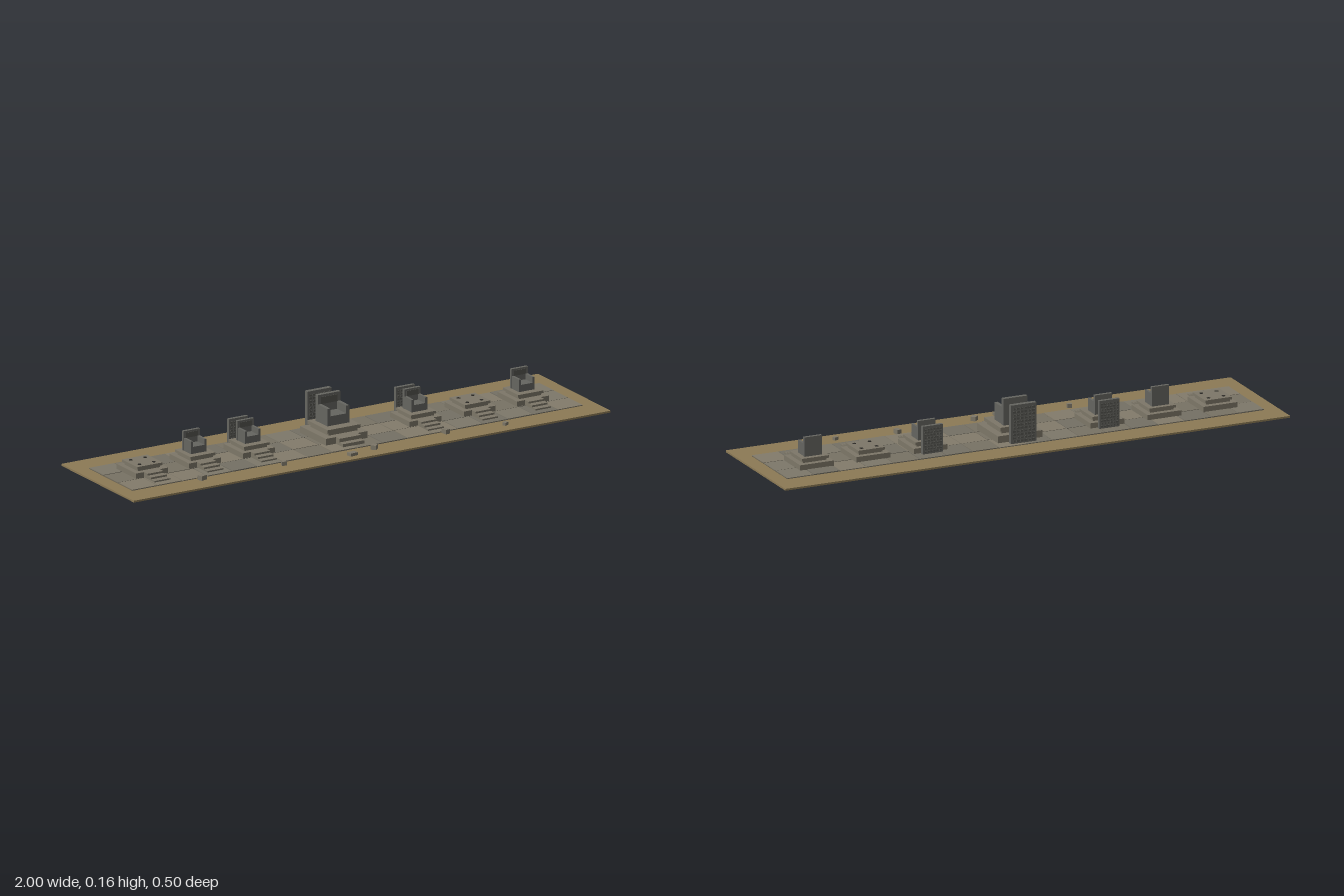
import * as THREE from 'three';

const mat = (color) => new THREE.MeshStandardMaterial({ color });
const M = {
  earth: mat(0x8c7a55),
  joint: mat(0x5e594c),
  plinth: mat(0x7d7768),
  stone: mat(0x656560),
  carving: mat(0x54544f),
  hole: mat(0x2c2a27),
  paving: [0x7d786a, 0x787264, 0x827b6b, 0x747064].map(mat),
};

// Box given by its x centre, bottom, z centre and size
function block(parent, name, material, x, y0, z, w, h, d) {
  const m = new THREE.Mesh(new THREE.BoxGeometry(w, h, d), material);
  m.name = name;
  m.position.set(x, y0 + h / 2, z);
  parent.add(m);
  return m;
}

function group(parent, name, x = 0, z = 0) {
  const g = new THREE.Group();
  g.name = name;
  g.position.set(x, 0, z);
  parent.add(g);
  return g;
}

let seed = 7;
const rand = () => (seed = (seed * 16807) % 2147483647) / 2147483647;

// Stepped plinth: base, recessed neck, overhanging slab, front stairs
function plinth(parent, p) {
  const g = group(parent, 'plinth');
  const y = 0.009, h1 = p.tier - y, h2 = p.top - p.tier;
  block(g, 'plinthBase', M.plinth, 0, y, 0, p.base * 2, h1, p.base * 2);
  block(g, 'plinthNeck', M.plinth, 0, p.tier, 0, p.slab * 1.76, h2 * 0.45, p.slab * 1.76);
  block(g, 'plinthSlab', M.plinth, 0, p.tier + h2 * 0.45, 0, p.slab * 2, h2 * 0.55, p.slab * 2);
  const n = p.steps, d = p.run / n;
  for (let i = 0; i < n; i++) {
    block(g, 'step', M.plinth, 0, y, p.base + d * (i + 0.5), p.stair * 2, h1 * (n - i) / n, d);
  }
}

// Block seat with two arms and a tall back
function throne(parent, p) {
  const g = group(parent, 'throne');
  const { w, front, back, thick, arm, tall } = p;
  const y = p.top, h = arm - y, d = front - back, z = (front + back) / 2;
  const a = w * 0.28;
  block(g, 'seat', M.stone, 0, y, z, w * 2 - a * 2, h * 0.55, d);
  for (const s of [-1, 1]) {
    block(g, 'armrest', M.stone, s * (w - a / 2), y, z, a, h, d);
  }
  block(g, 'backrest', M.stone, 0, y, back - thick / 2, w * 2.08, tall - y, thick);
  block(g, 'backPanel', M.carving, 0, arm, back + 0.0005, w * 1.5, (tall - arm) * 0.75, 0.002);
}

// Upright slab with rows of plain raised blocks on both faces
function stele(parent, p) {
  const g = group(parent, 'stele', 0, p.z);
  block(g, 'steleSlab', M.stone, 0, 0.009, 0, p.w * 2, p.h - 0.009, p.d);
  const cols = 6, rows = p.rows;
  const cw = (p.w * 1.8) / cols, ch = (p.h - 0.022) / rows;
  for (const s of [-1, 1]) {
    for (let r = 0; r < rows; r++) {
      for (let c = 0; c < cols; c++) {
        block(g, 'reliefBlock', M.carving, (c - (cols - 1) / 2) * cw, 0.016 + r * ch,
          s * p.d / 2, cw * (0.55 + 0.25 * rand()), ch * 0.55, 0.004);
      }
    }
  }
}

// Four sockets on an empty plinth
function sockets(parent, top) {
  for (const x of [-0.03, 0.03]) {
    for (const z of [-0.03, 0.03]) {
      const m = new THREE.Mesh(new THREE.CylinderGeometry(0.007, 0.007, 0.002, 10), M.hole);
      m.name = 'socket';
      m.position.set(x, top, z);
      parent.add(m);
    }
  }
}

export function createModel() {
  const root = new THREE.Group();
  root.name = 'throneTerrace';

  // Ground and paving
  block(root, 'ground', M.earth, 0, 0, 0, 2, 0.007, 0.5);
  block(root, 'pavingBed', M.joint, 0, 0.006, 0, 1.89, 0.002, 0.296);
  const paving = group(root, 'paving');
  const nx = 18, nz = 3, tx = 1.89 / nx, tz = 0.3 / nz;
  for (let i = 0; i < nx; i++) {
    for (let j = 0; j < nz; j++) {
      block(paving, 'pavingSlab', M.paving[Math.floor(rand() * 4)],
        (i - (nx - 1) / 2) * tx, 0.007, (j - (nz - 1) / 2) * tz,
        tx - 0.003, 0.003 + rand() * 0.0012, tz - 0.003);
    }
  }

  // Central large throne
  const big = group(root, 'centralThrone', 0, -0.014);
  plinth(big, { base: 0.088, tier: 0.036, slab: 0.069, top: 0.06, steps: 2, run: 0.049, stair: 0.045 });
  throne(big, { w: 0.046, front: 0.03, back: -0.033, thick: 0.016, top: 0.06, arm: 0.125, tall: 0.16 });
  stele(big, { z: -0.109, w: 0.05, h: 0.155, d: 0.018, rows: 11 });

  // Smaller plinths along the terrace
  const row = [
    [-0.8, 'empty'], [-0.578, 'seat'], [-0.352, 'stele'],
    [0.348, 'stele'], [0.575, 'empty'], [0.798, 'seat'],
  ];
  for (const [x, kind] of row) {
    const g = group(root, 'sideMonument', x, -0.021);
    plinth(g, { base: 0.067, tier: 0.03, slab: 0.053, top: 0.048, steps: 3, run: 0.072, stair: 0.033 });
    if (kind === 'empty') {
      sockets(g, 0.048);
    } else {
      throne(g, { w: 0.033, front: 0.025, back: -0.023, thick: 0.012, top: 0.048, arm: 0.095, tall: 0.121 });
    }
    if (kind === 'stele') stele(g, { z: -0.079, w: 0.04, h: 0.115, d: 0.013, rows: 9 });
  }

  // Loose stones in front: x, z, width, height, depth, turn
  const stones = [
    [-0.663, 0.168, 0.028, 0.018, 0.02, 0.3], [-0.327, 0.178, 0.018, 0.016, 0.014, -0.2],
    [-0.057, 0.207, 0.032, 0.012, 0.022, 0.1], [0.046, 0.187, 0.022, 0.017, 0.02, 0.7],
    [0.36, 0.165, 0.018, 0.018, 0.024, 0.2], [0.592, 0.194, 0.018, 0.012, 0.014, 0.4],
  ];
  for (const [x, z, w, h, d, turn] of stones) {
    block(root, 'looseStone', M.plinth, x, 0.006, z, w, h, d).rotation.y = turn;
  }
  return root;
}
